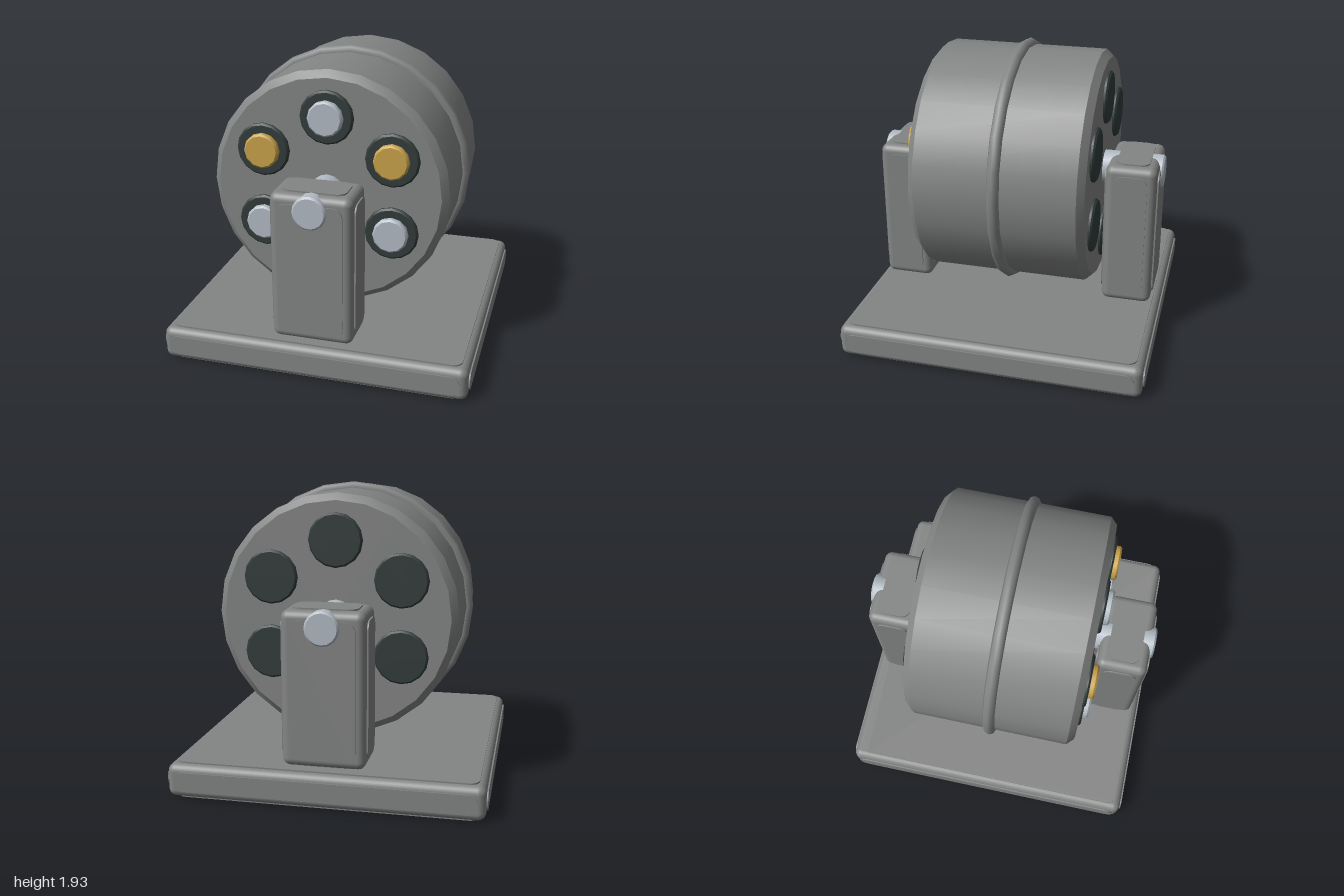
import * as THREE from 'three';
import { toCreasedNormals } from 'three/addons/utils/BufferGeometryUtils.js';
import { RoundedBoxGeometry } from 'three/addons/geometries/RoundedBoxGeometry.js';

const material = (name, color) => {
  const m = new THREE.MeshStandardMaterial({ color });
  m.name = name;
  return m;
};

const AXIS_Y = 1.12;
const LIP = 0.01; // height of the raised panels

export function createModel() {
  const steel = material('grey steel', 0x838584);
  const dark = material('dark socket', 0x323c3b);
  const silver = material('pale silver', 0xb2bbc4);
  const gold = material('brass', 0xc9a34a);

  const model = new THREE.Group();
  model.name = 'drumOnStand';

  const add = (parent, name, geometry, mat, x = 0, y = 0, z = 0) => {
    const mesh = new THREE.Mesh(geometry, mat);
    mesh.name = name;
    mesh.position.set(x, y, z);
    parent.add(mesh);
    return mesh;
  };

  // Thin plate with rounded corners, facing +z
  const plate = (w, h, r) => {
    const x = w / 2, y = h / 2;
    const s = new THREE.Shape();
    s.moveTo(-x + r, -y);
    s.lineTo(x - r, -y);
    s.absarc(x - r, -y + r, r, -Math.PI / 2, 0);
    s.absarc(x - r, y - r, r, 0, Math.PI / 2);
    s.absarc(-x + r, y - r, r, Math.PI / 2, Math.PI);
    s.absarc(-x + r, -y + r, r, Math.PI, Math.PI * 1.5);
    return new THREE.ExtrudeGeometry(s, { depth: LIP * 0.95, bevelEnabled: false, curveSegments: 6 });
  };

  // Rounded block with a raised panel on each of its six faces
  const panelBlock = (name, w, h, d, margin, y, z) => {
    const block = new THREE.Group();
    block.name = name;
    block.position.set(0, y, z);
    add(block, name + 'Body', new RoundedBoxGeometry(w - 2 * LIP, h - 2 * LIP, d - 2 * LIP, 4, 0.05), steel);
    const faces = [
      [w, h, d, 0, 0], [w, h, d, 0, Math.PI],
      [d, h, w, 0, Math.PI / 2], [d, h, w, 0, -Math.PI / 2],
      [w, d, h, -Math.PI / 2, 0], [w, d, h, Math.PI / 2, 0],
    ];
    for (const [pw, ph, depth, rx, ry] of faces) {
      const a = pw - 2 * margin, b = ph - 2 * margin;
      const panel = add(block, name + 'Panel', plate(a, b, Math.min(0.06, a / 2 - 0.002, b / 2 - 0.002)), steel);
      panel.rotation.set(rx, ry, 0);
      panel.translateZ(depth / 2 - LIP);
    }
    model.add(block);
  };

  // Solid of revolution along z with chamfered ends
  const chamferedRod = (r, z0, z1, chamfer, sides) => {
    const profile = [
      [0, z0], [r - chamfer, z0], [r, z0 + chamfer],
      [r, z1 - chamfer], [r - chamfer, z1], [0, z1],
    ].map(([a, b]) => new THREE.Vector2(a, b));
    const g = new THREE.LatheGeometry(profile, sides);
    g.rotateX(Math.PI / 2);
    return toCreasedNormals(g, 0.6);
  };

  // Base and the two upright posts
  panelBlock('base', 2, 0.235, 2, 0.055, 0.1175, 0);
  panelBlock('frontPost', 0.54, 0.99, 0.35, 0.067, 0.735, 0.77);
  panelBlock('backPost', 0.54, 0.99, 0.35, 0.067, 0.735, -0.77);

  // Drum with its middle band and axle
  const drum = new THREE.Group();
  drum.name = 'drum';
  drum.position.y = AXIS_Y;
  model.add(drum);
  add(drum, 'drumBody', chamferedRod(0.77, -0.56, 0.56, 0.045, 24), steel);
  add(drum, 'band', new THREE.TorusGeometry(0.77, 0.04, 8, 24), steel);
  add(drum, 'axle', chamferedRod(0.108, -0.96, 0.96, 0.012, 16), silver);

  // Six sockets through the drum, five of them loaded from the front
  const caps = [silver, gold, silver, null, silver, gold];
  caps.forEach((cap, i) => {
    const a = (i * Math.PI) / 3;
    const x = Math.sin(a) * 0.48, y = Math.cos(a) * 0.48;
    add(drum, 'socket', chamferedRod(0.172, -0.585, 0.585, 0.012, 16), dark, x, y);
    if (cap) add(drum, 'cap', chamferedRod(0.113, 0.5, 0.625, 0.012, 12), cap, x, y);
  });

  return model;
}
